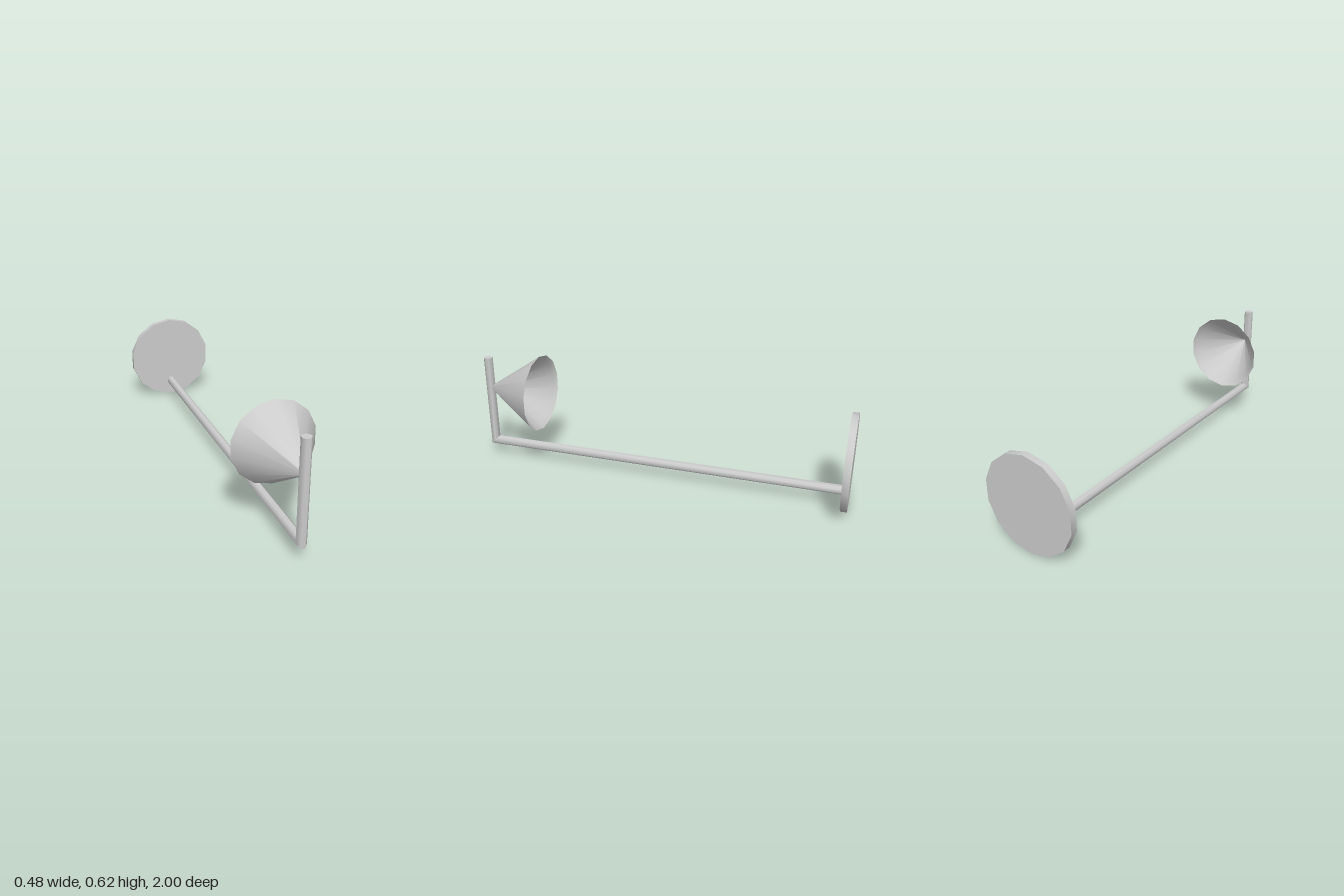
import * as THREE from 'three';
import { toCreasedNormals } from 'three/addons/utils/BufferGeometryUtils.js';

const SIDES = 14; // disc and cone
const BAR_R = 0.024; // octagonal bar
const BAR_Y = 0.089; // height of the long bar's axis
const POST_Z = 0.978; // depth of the post's axis
const POST_TOP = 0.581;
const BACK = -0.966; // where the bar meets the disc

export function createModel() {
  const group = new THREE.Group();
  const material = new THREE.MeshStandardMaterial({ color: 0xcccccc });

  const add = (name, geometry, crease = 0.9) => {
    const mesh = new THREE.Mesh(toCreasedNormals(geometry, crease), material);
    mesh.name = name;
    group.add(mesh);
    return mesh;
  };

  // Wall disc at the back
  const disc = new THREE.CylinderGeometry(0.246, 0.246, 0.034, SIDES);
  disc.rotateX(Math.PI / 2);
  add('wallDisc', disc).position.set(0, 0.247, -0.983);

  // L-shaped bar: an octagonal tube with a mitred corner between post and arm
  const bar = new THREE.CylinderGeometry(BAR_R, BAR_R, 2, 8, 2, false, Math.PI / 8);
  const p = bar.attributes.position;
  for (let i = 0; i < p.count; i++) {
    const ring = Math.round(p.getY(i)); // 1 post top, 0 mitre, -1 back end
    const out = p.getZ(i);
    p.setY(i, ring === 1 ? POST_TOP : BAR_Y - out);
    p.setZ(i, ring === -1 ? BACK : POST_Z + out);
  }
  add('armAndPost', bar);

  // Hollow cone shade opening towards the back, with a bevelled lip
  const profile = [
    [0, 0.945],
    [0.187, 0.69],
    [0.207, 0.67],
    [0.015, 0.962],
    [0, 0.962],
  ].map(([r, z]) => new THREE.Vector2(r, z));
  const shade = new THREE.LatheGeometry(profile, SIDES);
  shade.rotateX(Math.PI / 2);
  add('coneShade', shade).position.y = 0.409;

  return group;
}
